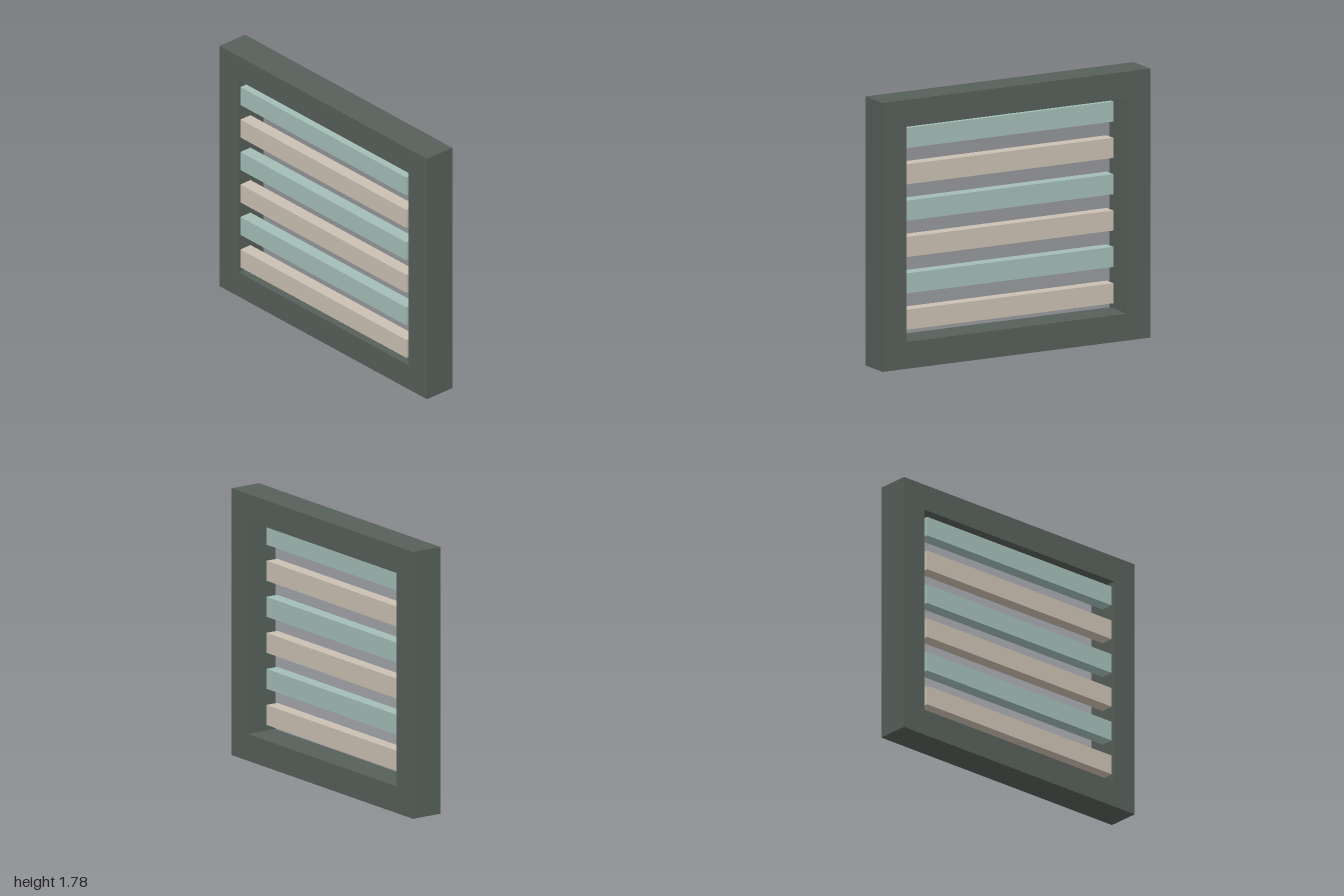
import * as THREE from 'three';

const W = 2, H = 1.78, D = 0.22, BORDER = 0.178;

export function createModel() {
  const group = new THREE.Group();
  group.name = 'slattedWindow';

  const material = (name, color) => {
    const m = new THREE.MeshStandardMaterial({ color });
    m.name = name;
    return m;
  };
  const frameGreen = material('dark grey green', 0x565f59);
  const slatColours = [material('warm beige', 0xcac0b2), material('pale teal', 0xa3bdb7)];

  // Frame: one rectangular ring
  const corners = (inset) => [
    new THREE.Vector2(-W / 2 + inset, inset),
    new THREE.Vector2(W / 2 - inset, inset),
    new THREE.Vector2(W / 2 - inset, H - inset),
    new THREE.Vector2(-W / 2 + inset, H - inset),
  ];
  const outline = new THREE.Shape(corners(0));
  outline.holes.push(new THREE.Path(corners(BORDER).reverse()));
  const frameGeometry = new THREE.ExtrudeGeometry(outline, { depth: D, bevelEnabled: false });
  frameGeometry.translate(0, 0, -D / 2);
  const frame = new THREE.Mesh(frameGeometry, frameGreen);
  frame.name = 'frame';
  group.add(frame);

  // Slats: alternating colours, set at the front of the opening
  const slatDepth = 0.087;
  const slatGeometry = new THREE.BoxGeometry(1.6, 0.133, slatDepth);
  for (let i = 0; i < 6; i++) {
    const slat = new THREE.Mesh(slatGeometry, slatColours[i % 2]);
    slat.name = `slat${i + 1}`;
    slat.position.set(0, 0.29 + i * 0.2405, D / 2 - slatDepth / 2);
    group.add(slat);
  }

  return group;
}
